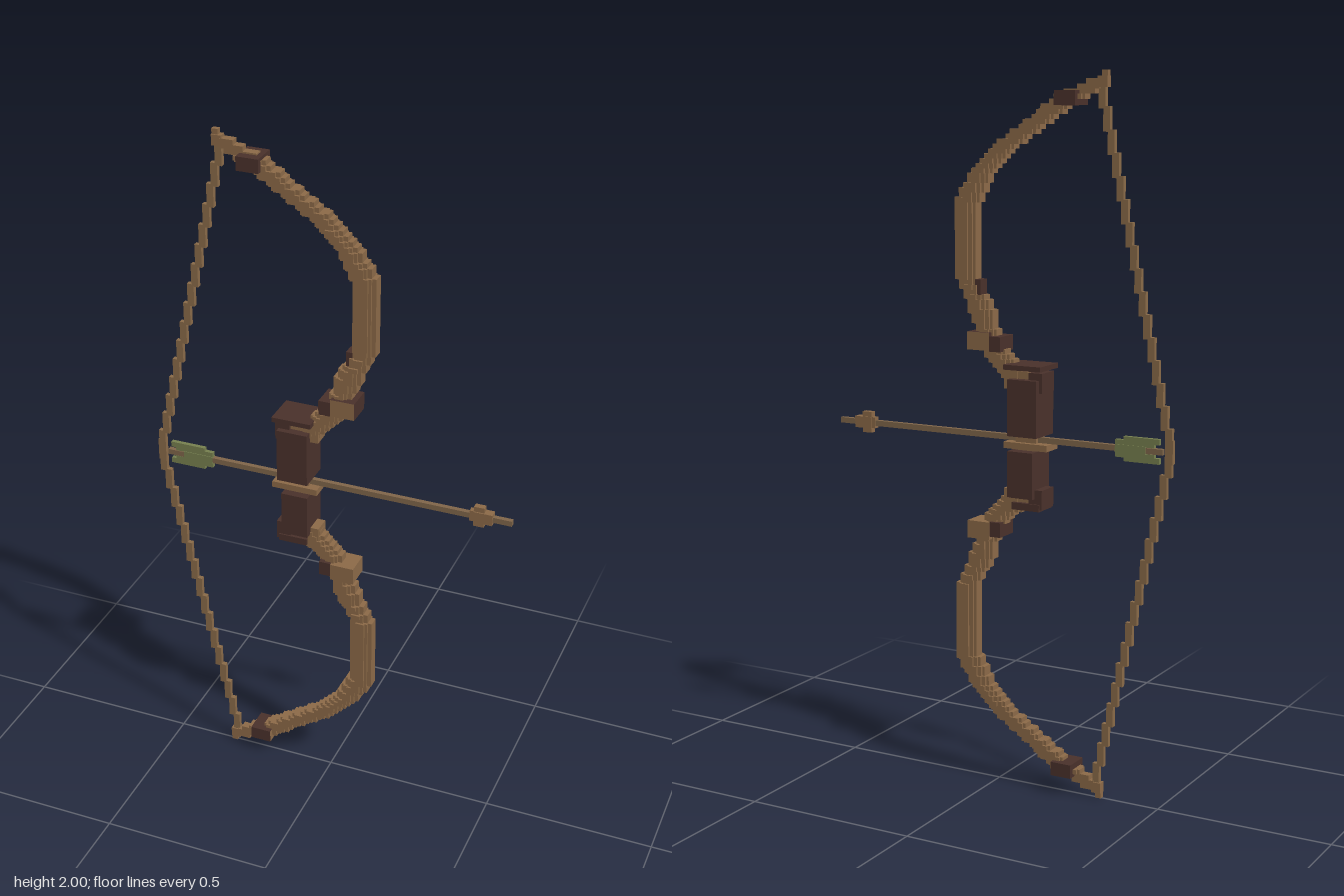
import * as THREE from 'three';
import { mergeGeometries } from 'three/addons/utils/BufferGeometryUtils.js';

const V = 0.0133; // voxel size

function mat(name, color) {
  const m = new THREE.MeshStandardMaterial({ color });
  m.name = name;
  return m;
}

// Box from its x and y limits and half depth in z; lower = mirrored about the arrow
function boxGeo(x0, x1, y0, y1, hz, lower = false) {
  const cy = (y0 + y1) / 2;
  return new THREE.BoxGeometry(x1 - x0, y1 - y0, hz * 2)
    .translate((x0 + x1) / 2, lower ? 2 - cy : cy, 0);
}

// x of a polyline of [x, y] points (y falling) at height y
function xAt(line, y) {
  if (y >= line[0][1]) return line[0][0];
  for (let i = 1; i < line.length; i++) {
    const [xa, ya] = line[i - 1], [xb, yb] = line[i];
    if (y >= yb) return xa + (xb - xa) * (ya - y) / (ya - yb);
  }
  return line[line.length - 1][0];
}

const outerEdge = [[-0.3, 1.985], [-0.19, 1.94], [-0.07, 1.856], [0.01, 1.8], [0.06, 1.755],
  [0.1, 1.7], [0.135, 1.644], [0.135, 1.458], [0.1, 1.38], [0.07, 1.304], [0.04, 1.225],
  [-0.03, 1.16], [-0.09, 1.135]];
const innerEdge = [[-0.31, 1.957], [-0.23, 1.914], [-0.125, 1.845], [-0.02, 1.77], [0.035, 1.7],
  [0.06, 1.644], [0.06, 1.42], [0.02, 1.352], [0.01, 1.3], [-0.03, 1.235], [-0.09, 1.19]];

// Limb as stacked rows: a thin full-width core and a deeper inset layer
function limbGeo(lower) {
  const parts = [];
  const snap = x => Math.round(x / V) * V;
  const row = y => [snap(xAt(innerEdge, y)), snap(xAt(outerEdge, y))];
  for (let y = 1.14; y < 1.975;) {
    const [a, b] = row(y + V / 2);
    let top = y + V;
    // join equal rows into one tall box
    while (top < 1.975) {
      const [c, d] = row(top + V / 2);
      if (c !== a || d !== b) break;
      top += V;
    }
    const x1 = Math.max(b, a + V);
    const tip = y > 1.93;
    parts.push(boxGeo(a, x1, y, top, tip ? 0.012 : 0.016, lower));
    if (!tip && x1 - a > 3 * V) {
      parts.push(boxGeo(a + V * 0.6, x1 - V * 0.9, y, top, 0.023, lower));
      if (y < 1.77 && x1 - a > 4 * V) parts.push(boxGeo(a + V * 1.5, x1 - V * 1.5, y, top, 0.029, lower));
    }
    y = top;
  }
  return mergeGeometries(parts);
}

// Half of the drawn string, stepping from the nock to the tip
function stringGeo(lower) {
  const parts = [], n = 16, h = 0.96 / n;
  for (let i = 0; i < n; i++) {
    const x = -0.527 + i * 0.0137;
    parts.push(boxGeo(x, x + 0.02, 1 + i * h, 1 + (i + 1) * h + 0.006, 0.007, lower));
  }
  return mergeGeometries(parts);
}

export function createModel() {
  const wood = mat('wood', 0x8c6a48);
  const leather = mat('dark leather', 0x4a312b);
  const cord = mat('cord', 0x8a6b49);
  const shaftWood = mat('arrow wood', 0x80664a);
  const feather = mat('green feather', 0x77804f);

  const model = new THREE.Group();
  model.name = 'bowAndArrow';
  const add = (parent, name, geo, material) => {
    const m = new THREE.Mesh(geo, material);
    m.name = name;
    parent.add(m);
    return m;
  };
  const W = wood, D = leather;

  for (const lower of [false, true]) {
    const half = new THREE.Group();
    half.name = lower ? 'lowerHalf' : 'upperHalf';
    model.add(half);
    const box = (name, x0, x1, y0, y1, hz, material) =>
      add(half, name, boxGeo(x0, x1, y0, y1, hz, lower), material);

    add(half, 'limb', limbGeo(lower), wood);
    add(half, 'bowString', stringGeo(lower), cord);
    box('limbTip', -0.328, -0.3, 1.955, 1.985, 0.011, wood);
    box('limbTipEnd', -0.328, -0.31, 1.985, 2, 0.007, wood);

    // Collars; faces in order +x, -x, +y, -y, +z, -z
    box('tipCollar', -0.248, -0.185, 1.908, 1.947, 0.038,
      lower ? [W, D, D, W, D, D] : D);
    box('limbCollarInner', -0.022, 0.012, 1.24, 1.282, 0.0375, D);
    box('limbCollar', 0.012, 0.082, 1.242, 1.292, 0.038,
      lower ? W : [D, D, D, W, W, W]);

    // Grip wrap and its end blocks
    if (lower) box('gripWrap', -0.13, -0.052, 1.03, 1.16, 0.05, D);
    else box('gripWrap', -0.142, -0.052, 1.012, 1.17, 0.05, D);
    box('gripEndBlock', -0.152, -0.11, 1.135, 1.19, 0.034, D);
    box('gripEndWood', -0.11, -0.028, 1.14, 1.19, 0.026, W);
    if (lower) box('gripCap', -0.145, -0.06, 1.175, 1.195, 0.038, D);
    else box('gripCap', -0.155, -0.04, 1.196, 1.21, 0.052, D);
  }
  add(model.getObjectByName('upperHalf'), 'limbPeg', boxGeo(0.05, 0.068, 1.39, 1.435, 0.018), D);

  // Arrow rest between the two grip wraps
  add(model, 'arrowRest', boxGeo(-0.165, -0.03, 0.974, 0.992, 0.032), wood);
  add(model, 'gripCore', boxGeo(-0.125, -0.06, 0.965, 1.02, 0.018), wood);

  // Arrow
  const arrow = new THREE.Group();
  arrow.name = 'arrow';
  model.add(arrow);
  add(arrow, 'shaft', boxGeo(-0.5, 0.528, 0.993, 1.009, 0.007), shaftWood);
  add(arrow, 'nock', boxGeo(-0.53, -0.507, 0.97, 1.035, 0.007), cord);
  add(arrow, 'headCollar', boxGeo(0.42, 0.45, 0.972, 1.033, 0.009), wood);
  add(arrow, 'headBarb', boxGeo(0.408, 0.42, 0.986, 1.018, 0.009), wood);
  add(arrow, 'headTip', boxGeo(0.42, 0.474, 0.985, 1.018, 0.0125), wood);
  // Feather strips above and below the shaft
  for (const s of [1, -1]) {
    const strip = (x0, x1, lo, hi) => add(arrow, 'feather',
      boxGeo(x0, x1, s > 0 ? 1.001 + lo : 1.001 - hi, s > 0 ? 1.001 + hi : 1.001 - lo, 0.006), feather);
    strip(-0.49, -0.385, 0.018, 0.034);
    strip(-0.475, -0.36, 0.009, 0.024);
  }
  add(arrow, 'featherBase', boxGeo(-0.45, -0.36, 0.99, 1.012, 0.008), feather);
  return model;
}
